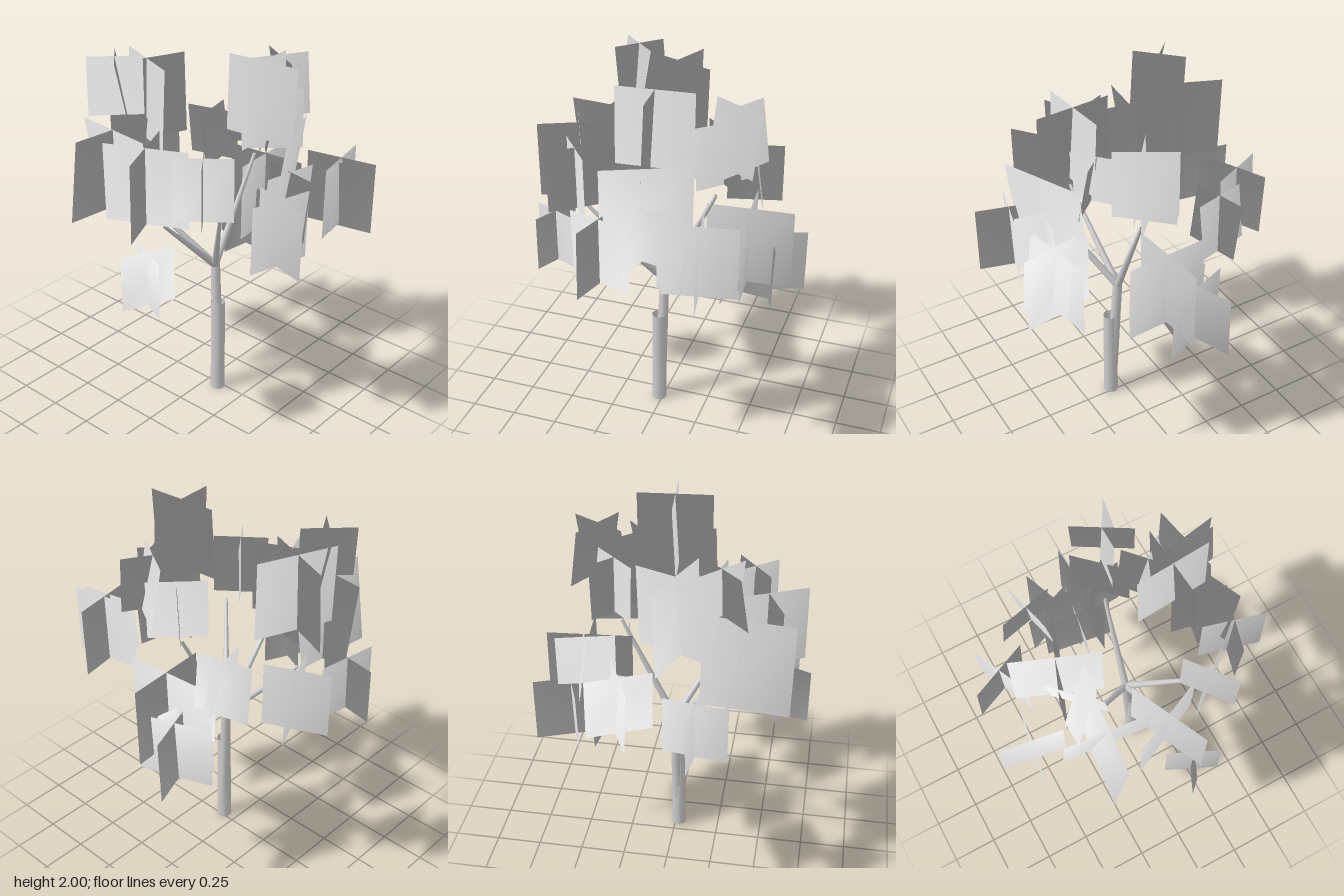
import * as THREE from 'three';

const UP = new THREE.Vector3(0, 1, 0);
const HEART = new THREE.Vector3(-0.03, 0.45, 0.04);

// Tapered open-ended limb between two points
function limb(name, a, b, r0, r1, material) {
  const p = new THREE.Vector3(...a), q = new THREE.Vector3(...b);
  const dir = q.clone().sub(p);
  const mesh = new THREE.Mesh(new THREE.CylinderGeometry(r1, r0, dir.length(), 12, 1, true), material);
  mesh.position.copy(p).add(q).multiplyScalar(0.5);
  mesh.quaternion.setFromUnitVectors(UP, dir.normalize());
  mesh.name = name;
  return mesh;
}

// One leaf card: top edge centred on (x, z), bottom edge shifted by the lean.
// Normals radiate from the heart of the tree and the card is wound to face outward.
function card(out, x, z, along, lean, size, y0, y1, w) {
  const corner = (s, t) => new THREE.Vector3(
    x + along[0] * s * size / 2 + lean[0] * w * (1 - t),
    t ? y1 : y0,
    z + along[1] * s * size / 2 + lean[1] * w * (1 - t));
  const c = [corner(-1, 0), corner(1, 0), corner(1, 1), corner(-1, 1)];
  const face = c[1].clone().sub(c[0]).cross(c[3].clone().sub(c[0]));
  const middle = c[0].clone().add(c[2]).multiplyScalar(0.5).sub(HEART);
  if (face.dot(middle) < 0) c.reverse();
  for (const i of [0, 1, 2, 0, 2, 3]) {
    out.positions.push(...c[i].toArray());
    out.normals.push(...c[i].clone().sub(HEART).normalize().toArray());
  }
}

// Two crossed cards, each leaning across its own plane
function leafCluster([cx, cz, dx, dz, size, y0, y1, w, count = 2], material) {
  const l = Math.hypot(dx, dz);
  const a = [dx / l, dz / l], s = [a[1], -a[0]], back = [-a[0], -a[1]];
  const out = { positions: [], normals: [] };
  const x = cx - (s[0] + (count > 1 ? back[0] : 0)) * w / 2;
  const z = cz - (s[1] + (count > 1 ? back[1] : 0)) * w / 2;
  card(out, x, z, a, s, size, y0, y1, w);
  if (count > 1) card(out, x, z, s, back, size, y0, y1, w);
  const g = new THREE.BufferGeometry();
  g.setAttribute('position', new THREE.Float32BufferAttribute(out.positions, 3));
  g.setAttribute('normal', new THREE.Float32BufferAttribute(out.normals, 3));
  const mesh = new THREE.Mesh(g, material);
  mesh.name = 'leafCluster';
  return mesh;
}

export function createModel() {
  const model = new THREE.Group();
  model.name = 'tree';
  const grey = new THREE.MeshStandardMaterial({ color: 0xcccccc, side: THREE.DoubleSide });
  grey.name = 'light grey';

  // Trunk: a short sleeve around a leaning upper stem
  model.add(limb('lowerTrunk', [-0.02, 0, 0.082], [-0.02, 0.57, 0.082], 0.041, 0.039, grey));
  model.add(limb('upperTrunk', [-0.012, 0.2, 0.075], [0, 0.79, 0.045], 0.032, 0.026, grey));

  // Branches fanning out from the top of the trunk
  const tips = [[-0.19, 1.15, -0.3], [-0.445, 1.21, 0.088], [-0.31, 1.26, 0.335], [0.29, 1.36, 0.075]];
  for (const tip of tips) model.add(limb('branch', [0, 0.78, 0.043], tip, 0.021, 0.009, grey));

  // Leaf clusters: x, z, direction x, direction z, size, bottom, top, lean, cards
  const foliage = new THREE.Group();
  foliage.name = 'foliage';
  const clusters = {
    back: [
      [-0.205, -0.61, 0.335, 0.053, 0.335, 1.03, 1.34, 0.004],
      [0.184, -0.585, -0.31, 0.14, 0.34, 1.1, 1.44, 0.018],
      [-0.081, -0.366, 0.163, -0.41, 0.44, 1.45, 1.89, 0.02],
      [-0.288, -0.343, -0.7, -0.7, 0.285, 1.66, 1.955, 0.055],
      [-0.38, -0.312, -0.1, 1, 0.465, 1.15, 1.625, 0.076],
    ],
    leftAndRight: [
      [-0.485, 0.005, 0.184, 0.4, 0.44, 1.21, 1.63, 0.006],
      [-0.6, 0.115, 0.261, 0.118, 0.285, 0.83, 1.14, 0.003],
      [-0.39, 0.297, 0.18, 0.228, 0.3, 1.285, 1.627, 0.002],
      [0.376, -0.042, 0.053, -0.38, 0.38, 0.74, 1.1, 0.024],
      [0.538, -0.115, 0.38, -0.145, 0.4, 0.725, 1.085, 0.01],
      [0.458, 0.02, 0.46, -0.035, 0.462, 0.84, 1.287, 0.005],
      [0.422, -0.306, -0.3, 0.075, 0.3, 1.18, 1.485, 0.043],
      [0.425, 0.17, -0.86, -0.51, 0.32, 1.57, 1.895, 0.057],
      [0.325, 0.062, 0.22, 0.21, 0.31, 1.42, 1.735, 0.01],
    ],
    front: [
      [0.165, 0.27, 0.74, -0.67, 0.28, 1.5, 1.8, 0.055],
      [0.034, 0.32, -0.03, -0.4, 0.4, 1.6, 2, 0.02],
      [0.056, 0.478, 0.43, -0.19, 0.458, 1.24, 1.68, 0.065, 1],
      [0.035, 0.474, 0.98, 0.19, 0.3, 1.13, 1.46, 0.036],
      [-0.155, 0.585, 0.335, 0.09, 0.345, 1.04, 1.415, 0.012],
      [0.305, 0.62, -0.2, -0.98, 0.315, 1.13, 1.45, 0.036],
      [0.36, 0.583, 0.371, -0.07, 0.378, 1.07, 1.46, 0.004],
    ],
  };
  for (const list of Object.values(clusters)) {
    for (const c of list) foliage.add(leafCluster(c, grey));
  }
  model.add(foliage);
  return model;
}
